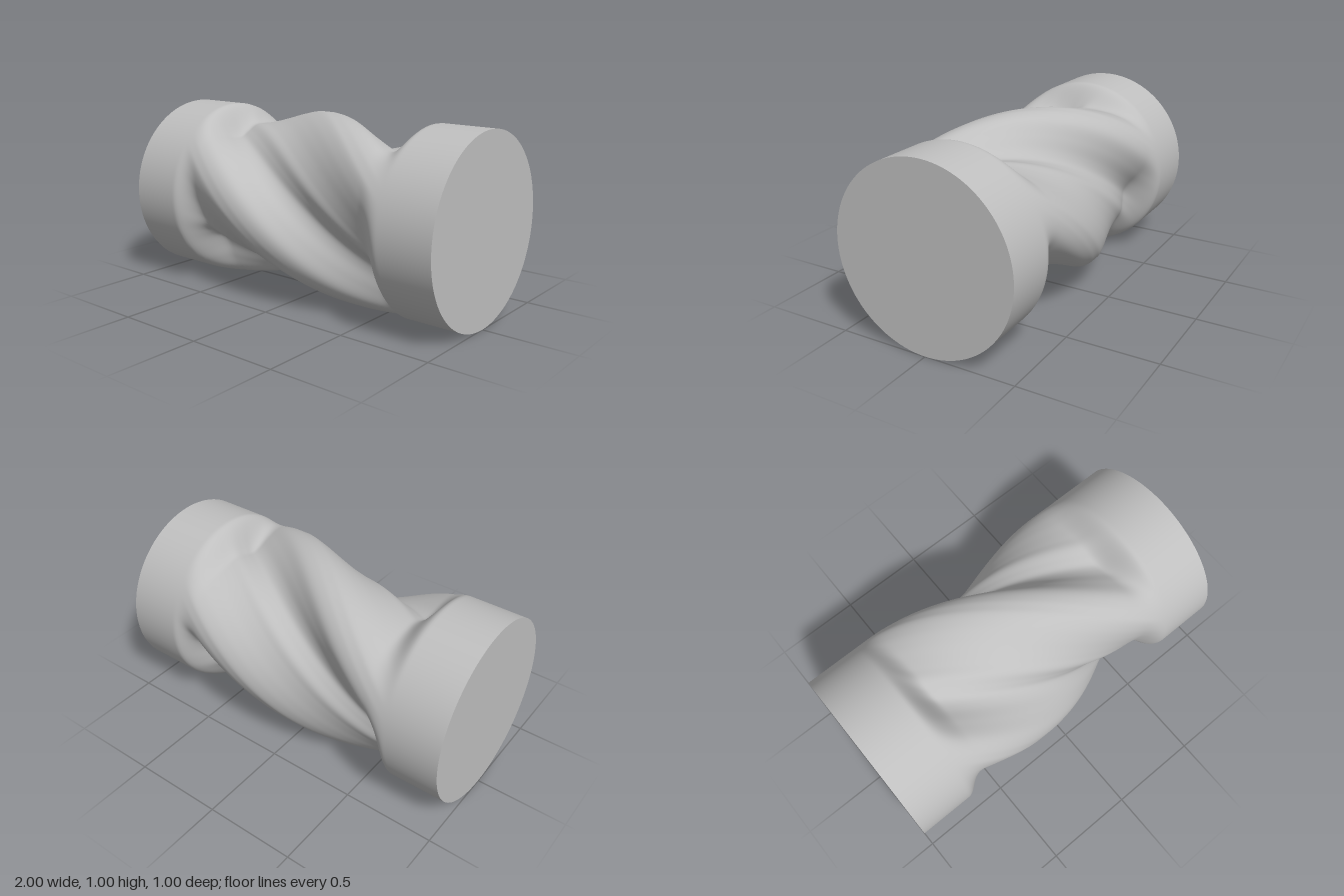
import * as THREE from 'three';
import { mergeVertices } from 'three/addons/utils/BufferGeometryUtils.js';

const R = 0.5, LOBES = 3, DEG = Math.PI / 180;
const TWIST = 100; // degrees of twist per unit along x

// radius across one flute, every 10 degrees, repeating every 120
const PROFILE = [0.5, 0.478, 0.447, 0.418, 0.398, 0.385, 0.355, 0.338, 0.36, 0.415, 0.475, 0.498];

// smooth periodic lookup of the flute profile
function fluteRadius(deg) {
  const n = PROFILE.length;
  const period = 360 / LOBES;
  const p = ((((deg + 60) % period) + period) % period) / 10;
  const i = Math.floor(p), t = p - i;
  const [a, b, c, d] = [-1, 0, 1, 2].map((k) => PROFILE[(i + k + n) % n]);
  const r = b + 0.5 * t * (c - a + t * (2 * a - 5 * b + 4 * c - d + t * (3 * (b - c) + d - a)));
  return Math.min(r, R);
}

// twisted fluted middle that runs out into round collars
function makeBody() {
  const geo = new THREE.CylinderGeometry(R, R, 2, 180, 160, true);
  geo.rotateZ(-Math.PI / 2);
  const pos = geo.attributes.position;
  for (let i = 0; i < pos.count; i++) {
    const x = pos.getX(i);
    const a = Math.atan2(pos.getZ(i), pos.getY(i));
    const fade = THREE.MathUtils.smoothstep(Math.abs(x), 0.55, 0.7);
    const r = THREE.MathUtils.lerp(fluteRadius(a / DEG - 60 - TWIST * x), R, fade);
    pos.setXYZ(i, x, r * Math.cos(a), r * Math.sin(a));
  }
  geo.deleteAttribute('uv');
  geo.deleteAttribute('normal');
  const merged = mergeVertices(geo, 1e-5);
  merged.computeVertexNormals();
  return merged;
}

export function createModel() {
  const group = new THREE.Group();
  group.name = 'flutedShaft';
  const grey = new THREE.MeshStandardMaterial({ color: 0xbfbfbf });
  grey.name = 'grey';

  const body = new THREE.Mesh(makeBody(), grey);
  body.name = 'twistedBody';
  body.position.y = R;
  group.add(body);

  // flat round ends
  for (const side of [-1, 1]) {
    const cap = new THREE.Mesh(new THREE.CircleGeometry(R, 180), grey);
    cap.name = side > 0 ? 'leftEnd' : 'rightEnd';
    cap.rotation.y = side * Math.PI / 2;
    cap.position.set(side, R, 0);
    group.add(cap);
  }
  return group;
}
